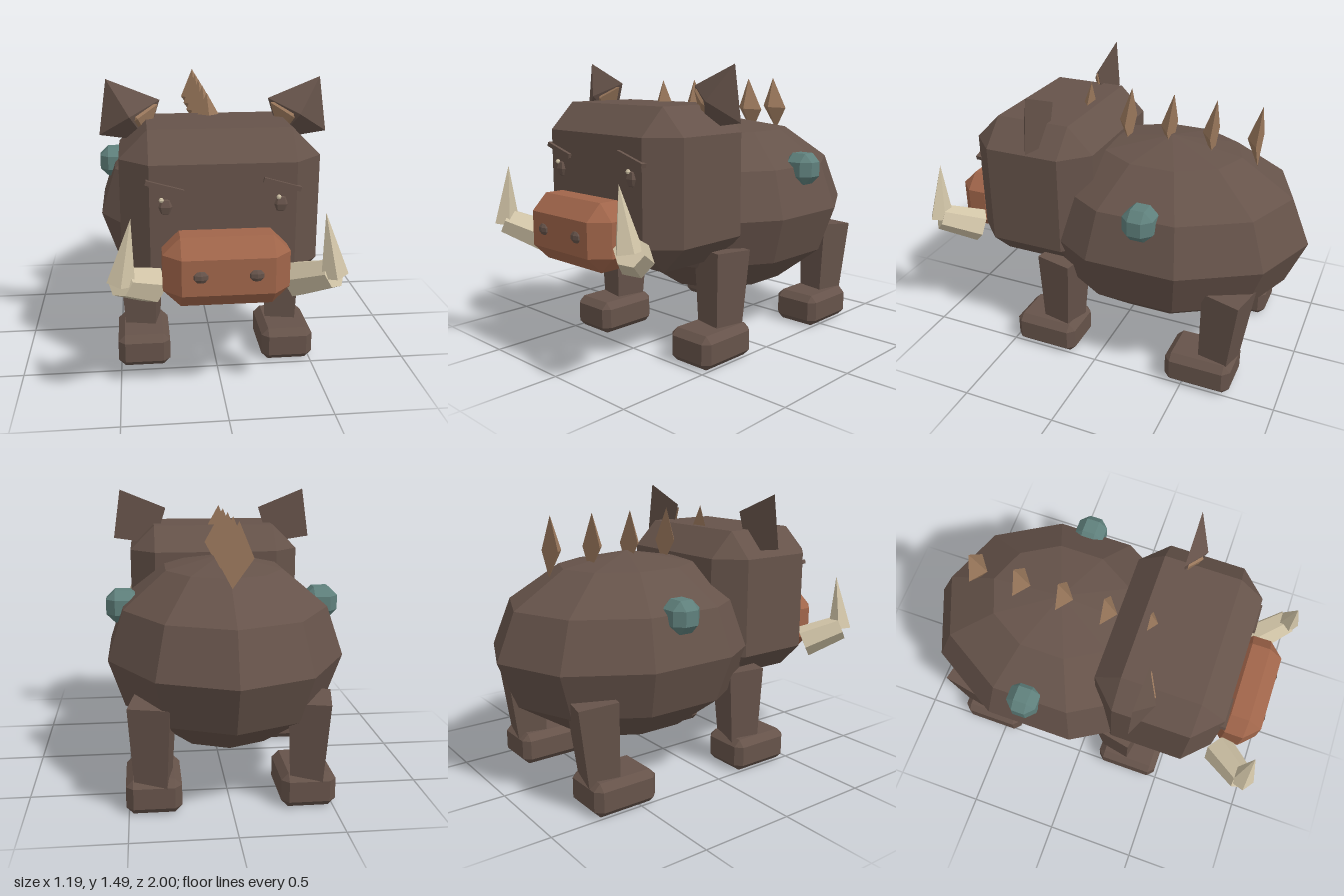
import * as THREE from 'three';
import { ConvexGeometry } from 'three/addons/geometries/ConvexGeometry.js';

const paint = (name, color) => new THREE.MeshStandardMaterial({ name, color, flatShading: true });
const V = (x, y, z) => new THREE.Vector3(x, y, z);

// Box with every edge cut at 45 degrees
function chamferBox(w, h, d, c) {
  const pts = [];
  for (const sx of [-1, 1]) for (const sy of [-1, 1]) for (const sz of [-1, 1]) {
    const x = w / 2, y = h / 2, z = d / 2;
    pts.push(V(sx * x, sy * (y - c), sz * (z - c)));
    pts.push(V(sx * (x - c), sy * y, sz * (z - c)));
    pts.push(V(sx * (x - c), sy * (y - c), sz * z));
  }
  return new ConvexGeometry(pts);
}

// Flat-backed pyramid: outline in the plane z = back, one point to the front
function pyramid(outline, back, apex, side = 1) {
  const pts = outline.map(([x, y]) => V(x * side, y, back));
  pts.push(V(apex[0] * side, apex[1], apex[2]));
  return new ConvexGeometry(pts);
}

export function createModel() {
  const root = new THREE.Group();
  root.name = 'boar';
  const hide = paint('hide brown', 0x66534a);
  const snoutMat = paint('snout rust', 0xa0654a);
  const ivory = paint('tusk ivory', 0xd2c5a8);
  const tan = paint('bristle tan', 0x9a785c);
  const teal = paint('teal', 0x5f807c);

  function add(name, geometry, material, x = 0, y = 0, z = 0) {
    const mesh = new THREE.Mesh(geometry, material);
    mesh.name = name;
    mesh.position.set(x, y, z);
    root.add(mesh);
    return mesh;
  }

  // Tapered bar between two points
  function bar(name, a, b, ra, rb, sides, material) {
    const dir = b.clone().sub(a);
    const mesh = add(name, new THREE.CylinderGeometry(rb, ra, dir.length(), sides), material);
    mesh.position.copy(a).add(b).multiplyScalar(0.5);
    mesh.quaternion.setFromUnitVectors(V(0, 1, 0), dir.normalize());
    return mesh;
  }

  // Faceted body
  const bodyGeo = new THREE.SphereGeometry(1, 10, 6).rotateY(Math.PI / 2).scale(0.62, 0.49, 0.76);
  add('body', bodyGeo, hide, 0, 0.7, -0.24);

  // Head and snout
  add('head', chamferBox(0.95, 0.79, 0.67, 0.135), hide, 0, 0.895, 0.395);
  add('snout', chamferBox(0.58, 0.33, 0.26, 0.08), snoutMat, 0, 0.695, 0.82);

  // Row of bristles along the back
  for (const z of [0.235, 0, -0.235, -0.465, -0.7]) {
    const outline = [[-0.03, 1.4], [-0.1, 1.23], [0, 1.09], [0.07, 1.22]];
    add('bristle', pyramid(outline, z, [-0.015, 1.225, z + 0.065]), tan);
  }

  for (const s of [-1, 1]) {
    const side = s > 0 ? 'left' : 'right';

    // Face details
    add(side + 'Nostril', new THREE.SphereGeometry(1, 8, 5).scale(0.041, 0.032, 0.025), hide, s * 0.125, 0.7, 0.94);
    add(side + 'Eye', new THREE.SphereGeometry(1, 6, 4).scale(0.042, 0.045, 0.03), hide, s * 0.267, 0.96, 0.718);
    add(side + 'EyeGlint', new THREE.SphereGeometry(0.012, 6, 4), ivory, s * 0.27 - 0.015, 0.995, 0.738);
    add(side + 'Brow', new THREE.BoxGeometry(0.18, 0.022, 0.03), hide, s * 0.27, 1.055, 0.732).rotation.z = -0.28;

    // Ear with lighter inside
    const ear = [[0.53, 1.485], [0.27, 1.38], [0.335, 1.175], [0.57, 1.21]];
    add(side + 'Ear', pyramid(ear, 0.31, [0.42, 1.31, 0.395], s), hide);
    const inner = [[0.47, 1.385], [0.28, 1.36], [0.33, 1.2], [0.48, 1.22]];
    add(side + 'InnerEar', pyramid(inner, 0.325, [0.38, 1.3, 0.382], s), tan);

    // Tusk: stout base bending into a spike
    bar(side + 'TuskBase', V(s * 0.34, 0.6, 0.775), V(s * 0.478, 0.69, 0.935), 0.09, 0.07, 6, ivory);
    bar(side + 'TuskTip', V(s * 0.475, 0.685, 0.935), V(s * 0.425, 0.98, 0.94), 0.066, 0, 5, ivory);

    // Side knob
    add(side + 'Knob', chamferBox(0.17, 0.165, 0.16, 0.045), teal, s * 0.512, 0.935, -0.27);

    // Legs and feet
    for (const [end, legZ, footZ, tilt] of [['Front', 0.23, 0.305, -0.03], ['Back', -0.68, -0.58, -0.08]]) {
      const legGeo = new THREE.CylinderGeometry(0.143, 0.11, 0.45, 4, 1, false, Math.PI / 4);
      const leg = add(side + end + 'Leg', legGeo.rotateY(-0.2), hide, s * 0.378, 0.335, legZ);
      leg.rotation.x = tilt;
      add(side + end + 'Foot', chamferBox(0.27, 0.175, 0.355, 0.035), hide, s * 0.378, 0.0875, footZ);
    }
  }
  return root;
}
